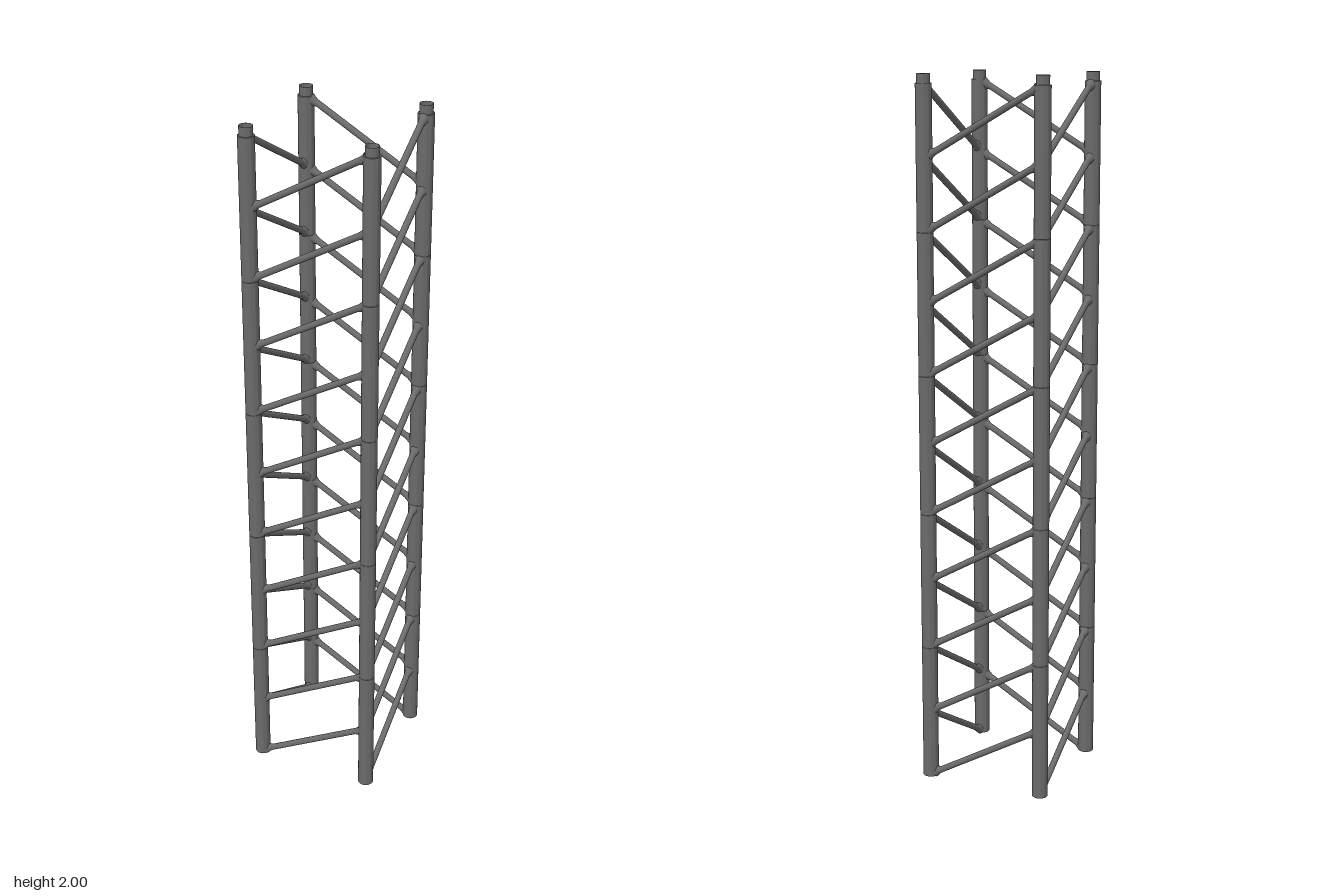
import * as THREE from 'three';
import { mergeVertices, toCreasedNormals } from 'three/addons/utils/BufferGeometryUtils.js';

const HALF = 0.1725;      // tube axis distance from the centre
const TUBE_R = 0.0225;
const PITCH = 0.1975;     // height climbed by one brace
const SECTIONS = 5;
const SECTION_H = PITCH * 2;

// Hollow tube section with a narrower spigot on top and a hairline bevel at each joint
function tubeGeometry() {
  const h = SECTION_H, b = 0.0005, bore = 0.0178, spigot = 0.0185, top = h + 0.025;
  const profile = [
    [bore, 0], [TUBE_R - b, 0], [TUBE_R, b], [TUBE_R, h - b], [TUBE_R - b, h],
    [spigot, h], [spigot, top], [bore, top], [bore, 0],
  ].map(([r, y]) => new THREE.Vector2(r, y));
  return toCreasedNormals(new THREE.LatheGeometry(profile, 32), 0.5);
}

// Sloping round bar with flared weld ends, cut to the curve of the tubes
function braceGeometry() {
  const end = HALF - 0.02, neck = HALF - 0.034, r = 0.009, weld = 0.014;
  const profile = [[weld, -end], [0.0105, -neck - 0.006], [r, -neck], [r, neck], [0.0105, neck + 0.006], [weld, end]]
    .map(([x, y]) => new THREE.Vector2(x, y));
  const lathe = new THREE.LatheGeometry(profile, 16).rotateZ(-Math.PI / 2);
  lathe.deleteAttribute('uv');
  lathe.deleteAttribute('normal');
  const geo = mergeVertices(lathe, 1e-5);
  const p = geo.attributes.position;
  const slope = PITCH / (2 * HALF), stretch = Math.hypot(1, slope);
  for (let i = 0; i < p.count; i++) {
    let x = p.getX(i);
    const z = p.getZ(i);
    if (Math.abs(x) > end - 1e-4) x = Math.sign(x) * (HALF - Math.sqrt(0.021 ** 2 - z * z));
    p.setXYZ(i, x, p.getY(i) * stretch + x * slope, z);
  }
  geo.computeVertexNormals();
  return geo;
}

export function createModel() {
  const model = new THREE.Group();
  model.name = 'latticeTower';
  const metal = new THREE.MeshStandardMaterial({ color: 0x6a6a6a, side: THREE.DoubleSide });
  const tube = tubeGeometry();
  const brace = braceGeometry();

  // Each section repeats one corner tube and two parallel braces on all four sides
  for (let s = 0; s < SECTIONS; s++) {
    const section = new THREE.Group();
    section.name = `section${s + 1}`;
    section.position.y = s * SECTION_H;
    for (let k = 0; k < 4; k++) {
      const side = new THREE.Group();
      side.name = `side${k + 1}`;
      side.rotation.y = k * Math.PI / 2;

      const post = new THREE.Mesh(tube, metal);
      post.name = 'cornerTube';
      post.position.set(HALF, 0, HALF);
      side.add(post);

      for (let i = 0; i < 2; i++) {
        const bar = new THREE.Mesh(brace, metal);
        bar.name = 'diagonalBrace';
        bar.position.set(0, (i + 0.5) * PITCH, HALF);
        side.add(bar);
      }
      section.add(side);
    }
    model.add(section);
  }
  return model;
}
